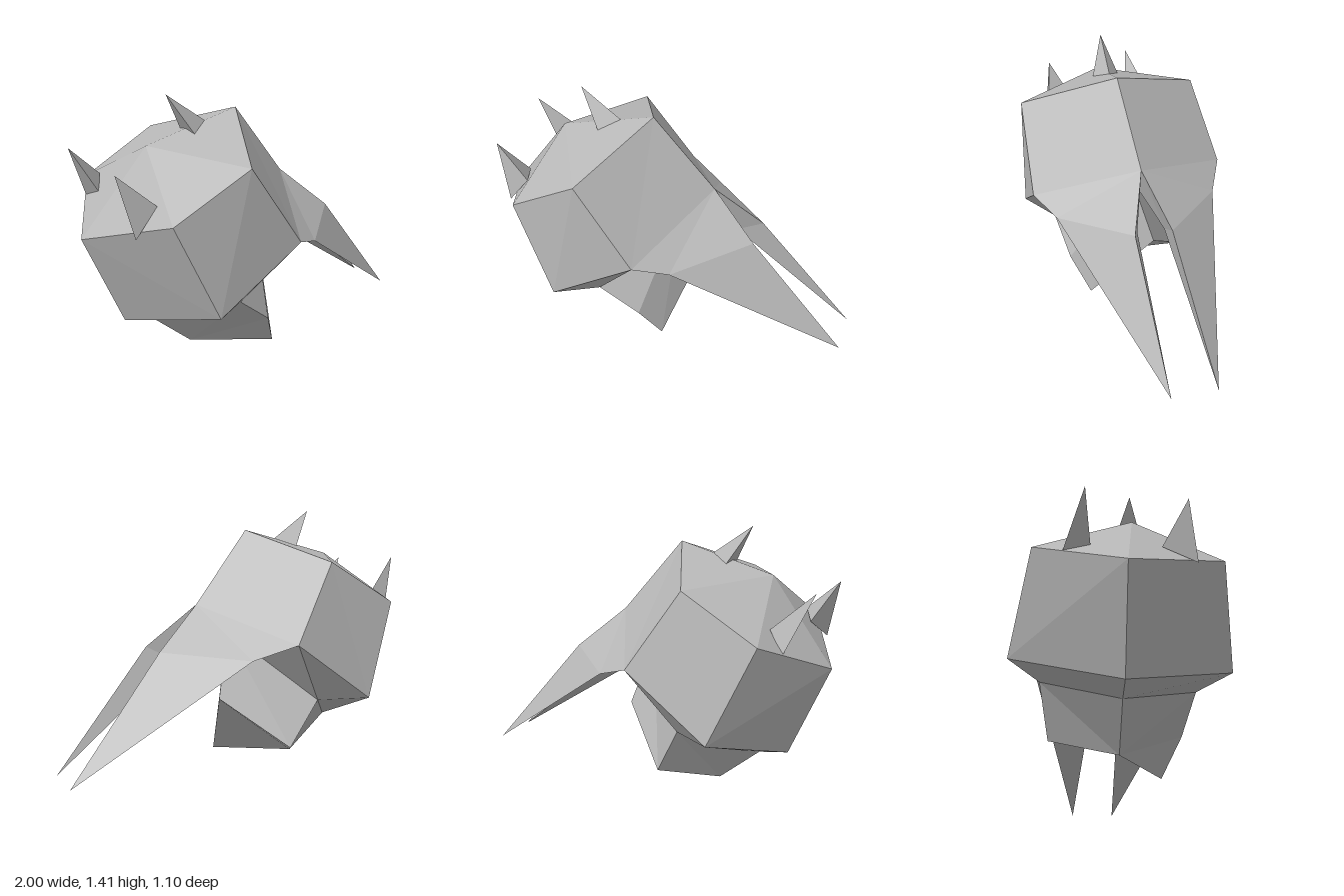
import * as THREE from 'three';

const grey = new THREE.MeshStandardMaterial({ color: 0xb8b8b8, flatShading: true, side: THREE.DoubleSide });
grey.name = 'grey';

// Corners on the middle of the body
const mid = {
  A: [-1, 0.73, 0], B: [-0.79, 0.23, 0], D: [-0.65, 1.17, 0.05], E: [-0.12, 1.31, 0.05],
  G: [0.21, 0.91, 0], S: [0.02, 0.745, 0], N: [-0.63, 0.2, 0],
};
// Corners of the front and back halves: same layout, slightly uneven
const front = {
  ...mid,
  C: [-0.75, 0.89, 0.5], F: [-0.35, 1.12, 0.55], H: [-0.05, 0.69, 0.55], L: [-0.53, 0.39, 0.55],
  M: [-0.32, 0.37, 0.4], I: [0.12, 0.63, 0.45], J: [0.47, 0.68, 0.1], K: [1, 0.04, 0.05], T: [0.32, 0.6, 0.05],
};
const back = {
  ...mid,
  C: [-0.77, 0.92, -0.45], F: [-0.37, 1.15, -0.45], H: [-0.11, 0.74, -0.55], L: [-0.56, 0.42, -0.55],
  M: [-0.33, 0.4, -0.4], I: [0.1, 0.66, -0.45], J: [0.47, 0.68, -0.1], K: [1, 0.04, -0.2], T: [0.32, 0.6, -0.1],
};
// Corners of the lower jaw
const jaw = {
  S: mid.S, N: mid.N, M: front.M, W: back.M,
  Q: [-0.11, 0.2, 0.35], P: [-0.01, 0, 0.25], O: [-0.4, 0, 0], R: [0.12, 0.39, -0.1], V: [-0.19, 0.135, -0.35],
};

// Faceted mesh from named corners; each three-letter word is one face
function facets(name, corners, words, flip = false) {
  const pts = [];
  for (const word of words.split(' ')) {
    const keys = flip ? [...word].reverse() : [...word];
    for (const k of keys) pts.push(...corners[k]);
  }
  const geo = new THREE.BufferGeometry();
  geo.setAttribute('position', new THREE.Float32BufferAttribute(pts, 3));
  geo.computeVertexNormals();
  const mesh = new THREE.Mesh(geo, grey);
  mesh.name = name;
  return mesh;
}

// Three-sided spike, wound outward whatever the order of its base
function spike(name, tip, a, b, c) {
  const [t, u, v, w] = [tip, a, b, c].map((p) => new THREE.Vector3(...p));
  const n = v.clone().sub(u).cross(w.clone().sub(u));
  const inward = n.dot(t.sub(u)) < 0;
  return facets(name, { t: tip, a, b, c }, 'abt bct cat acb', inward);
}

export function createModel() {
  const model = new THREE.Group();
  model.name = 'spikedCreature';

  // Body shell and the long pointed prongs, one half at a time
  const shell = 'ACD ALC ABL BNL NML LMH CLF LHF CFD DFE FHE EHG HIG SIH SHM';
  const prong = 'IJG IKJ GJT JKT GTS STI TKI';
  for (const [side, corners, flip] of [['front', front, false], ['back', back, true]]) {
    model.add(facets(side + 'Shell', corners, shell, flip));
    model.add(facets(side + 'Prong', corners, prong, flip));
  }

  // Lower jaw under the shell
  model.add(facets('lowerJaw', jaw, 'SMQ MNO MOQ QOP SQP SPR RPO SVW WVO WON SRV ROV'));

  // Spikes on top and on the two shoulders
  model.add(spike('topSpike', [-0.53, 1.415, 0.05], [-0.41, 1.21, -0.025], [-0.31, 1.26, 0.05], [-0.41, 1.21, 0.125]));
  model.add(spike('backSpike', [-0.96, 1.15, -0.2], [-0.84, 0.855, -0.3], [-0.765, 0.97, -0.28], [-0.82, 0.9, -0.165]));
  model.add(spike('frontSpike', [-0.935, 1.12, 0.3], [-0.82, 0.915, 0.18], [-0.745, 0.95, 0.34], [-0.865, 0.805, 0.345]));
  return model;
}
